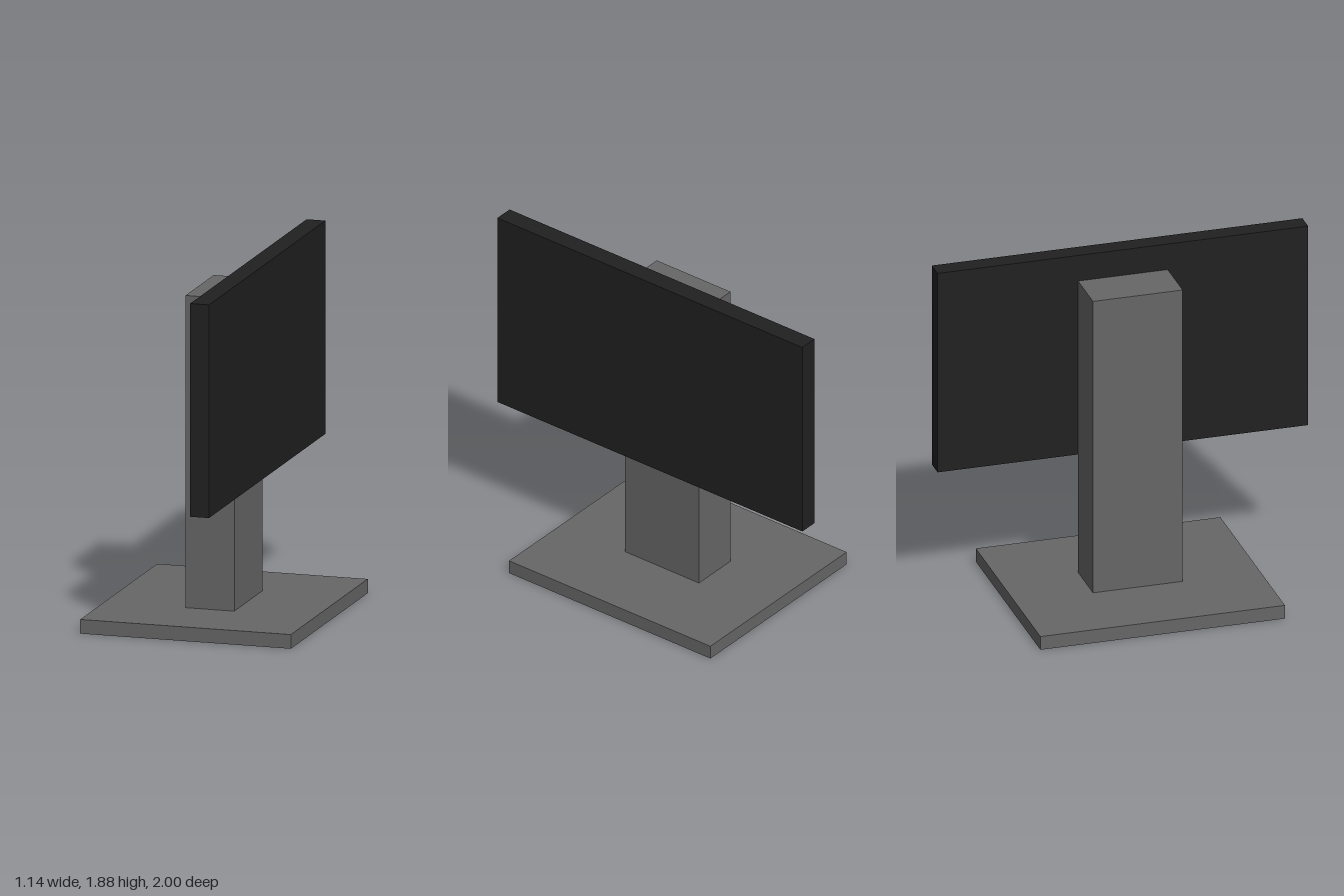
import * as THREE from 'three';

// Box spanning two opposite corners
function slab(name, min, max, material) {
  const size = max.map((v, i) => v - min[i]);
  const mesh = new THREE.Mesh(new THREE.BoxGeometry(...size), material);
  mesh.position.set(...max.map((v, i) => (v + min[i]) / 2));
  mesh.name = name;
  return mesh;
}

export function createModel() {
  const group = new THREE.Group();
  group.name = 'monitor';
  const grey = new THREE.MeshStandardMaterial({ color: 0x666666 });
  const black = new THREE.MeshStandardMaterial({ color: 0x202020 });

  group.add(
    // Stand: flat foot and upright column
    slab('base', [-0.57, 0, -0.66], [0.57, 0.075, 0.66], grey),
    slab('column', [-0.132, 0.075, -0.242], [0.132, 1.73, 0.242], grey),
    // Wide panel mounted on the +x side of the column
    slab('screen', [0.132, 0.745, -1], [0.234, 1.875, 1], black),
  );
  return group;
}
